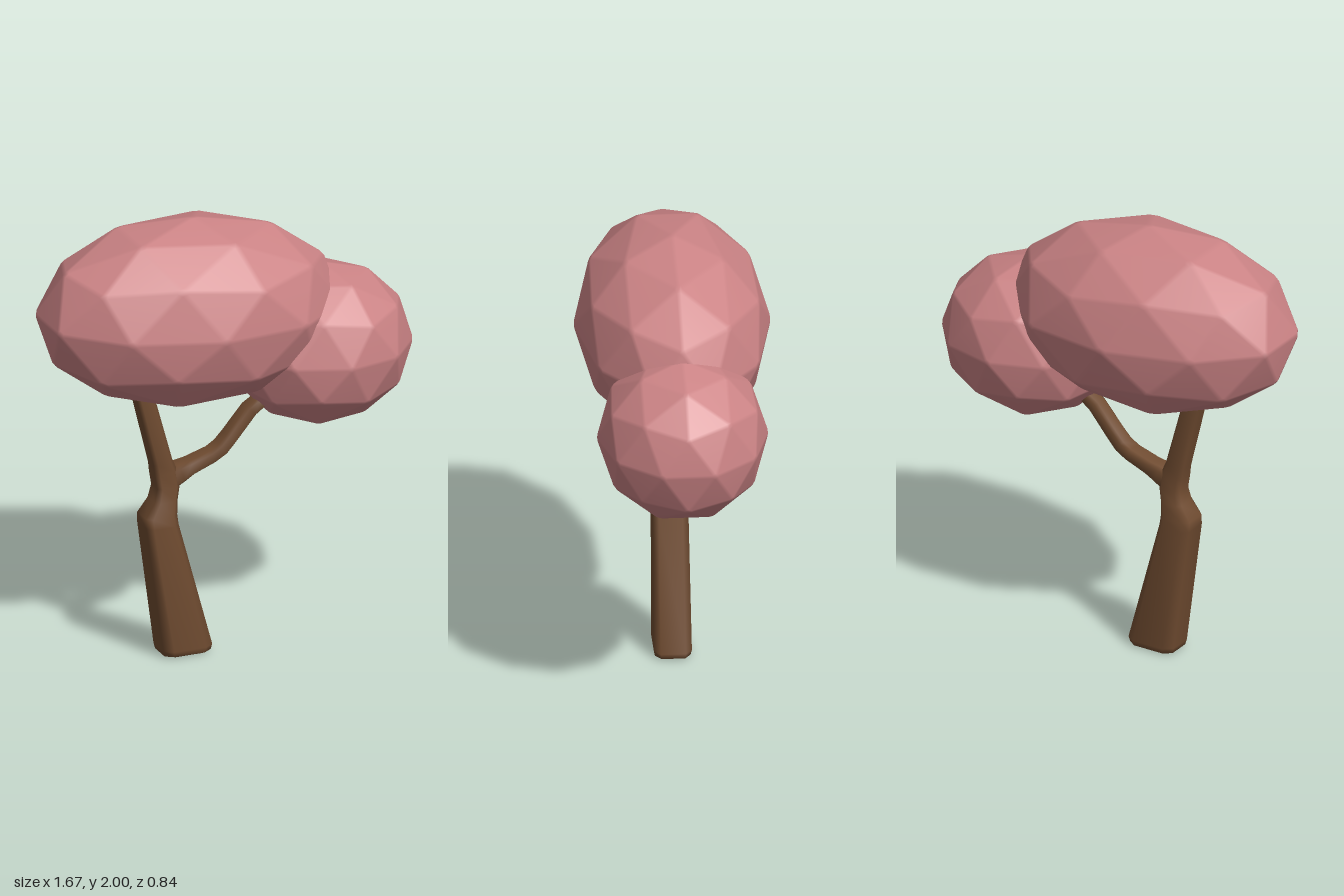
import * as THREE from 'three';
import { mergeVertices } from 'three/addons/utils/BufferGeometryUtils.js';
import { ConvexGeometry } from 'three/addons/geometries/ConvexGeometry.js';

const bark = new THREE.MeshStandardMaterial({ color: 0x6f4b30 });
const leaf = new THREE.MeshStandardMaterial({ color: 0xcb8385 });

// Shares vertices so that the narrow bevels blend softly between the flat faces
function soften(geo) {
  geo.deleteAttribute('normal');
  geo.deleteAttribute('uv');
  const merged = mergeVertices(geo, 1e-4);
  merged.computeVertexNormals();
  return merged;
}

// Faceted ball with bevelled edges: the hull of every face shrunk toward its centre
function facetedBall(inset) {
  const ico = new THREE.IcosahedronGeometry(1, 1);
  ico.rotateZ(-Math.atan(2 / (1 + Math.sqrt(5)))); // a corner points straight up
  const p = ico.attributes.position;
  const points = [];
  for (let f = 0; f < p.count; f += 3) {
    const tri = [0, 1, 2].map(k => new THREE.Vector3().fromBufferAttribute(p, f + k));
    const mid = tri[0].clone().add(tri[1]).add(tri[2]).divideScalar(3);
    tri.forEach(v => points.push(v.lerp(mid, inset)));
  }
  return new ConvexGeometry(points);
}

function crown(name, center, radii, tilt) {
  const geo = facetedBall(0.13);
  geo.scale(...radii);
  geo.rotateZ(THREE.MathUtils.degToRad(tilt));
  const mesh = new THREE.Mesh(soften(geo), leaf);
  mesh.name = name;
  mesh.position.set(...center);
  return mesh;
}

// Limb from chamfered square sections: [x, y, half width, half depth, lean in degrees]
function limb(name, sections) {
  const c = 0.66;
  const outline = [[1, -c], [1, c], [c, 1], [-c, 1], [-1, c], [-1, -c], [-c, -1], [c, -1]];
  const n = outline.length;
  const pos = [], idx = [];
  for (const [x, y, w, d, lean] of sections) {
    const a = THREE.MathUtils.degToRad(lean);
    for (const [u, v] of outline) pos.push(x + u * w * Math.cos(a), y - u * w * Math.sin(a), -v * d);
  }
  for (let i = 0; i < sections.length - 1; i++) {
    for (let j = 0; j < n; j++) {
      const a = i * n + j, b = i * n + (j + 1) % n;
      idx.push(a, b, a + n, b, b + n, a + n);
    }
  }
  const last = (sections.length - 1) * n;
  for (let j = 1; j < n - 1; j++) {
    idx.push(0, j + 1, j, last, last + j, last + j + 1);
  }
  const geo = new THREE.BufferGeometry();
  geo.setAttribute('position', new THREE.Float32BufferAttribute(pos, 3));
  geo.setIndex(idx);
  geo.computeVertexNormals();
  const mesh = new THREE.Mesh(geo, bark);
  mesh.name = name;
  return mesh;
}

export function createModel() {
  const tree = new THREE.Group();
  tree.name = 'tree';

  // Leaning trunk that narrows at the fork and carries on as the upright stem
  tree.add(limb('trunk', [
    [-0.195, 0, 0.095, 0.066, 0],
    [-0.195, 0.006, 0.108, 0.077, 0],
    [-0.195, 0.03, 0.114, 0.082, 0],
    [-0.312, 0.61, 0.075, 0.078, 0],
    [-0.315, 0.655, 0.073, 0.072, 0],
    [-0.29, 0.72, 0.053, 0.061, 0],
    [-0.277, 0.78, 0.052, 0.051, 0],
    [-0.288, 0.85, 0.052, 0.05, -8],
    [-0.302, 0.9, 0.044, 0.049, -14],
    [-0.38, 1.2, 0.04, 0.047, -15],
    [-0.42, 1.36, 0.036, 0.042, -15],
  ]));

  // Side branch bending up into the smaller crown
  tree.add(limb('sideBranch', [
    [-0.29, 0.80, 0.05, 0.046, 60],
    [-0.215, 0.834, 0.043, 0.047, 68],
    [-0.165, 0.853, 0.033, 0.046, 70],
    [-0.065, 0.888, 0.03, 0.043, 68],
    [-0.02, 0.915, 0.031, 0.042, 55],
    [0.02, 0.958, 0.03, 0.041, 44],
    [0.115, 1.07, 0.03, 0.039, 43],
    [0.16, 1.1, 0.028, 0.038, 58],
    [0.3, 1.18, 0.025, 0.035, 60],
  ]));

  // Two overlapping crowns of foliage
  tree.add(crown('largeCrown', [-0.17, 1.58, 0], [0.7, 0.427, 0.427], -3));
  tree.add(crown('smallCrown', [0.44, 1.335, 0], [0.415, 0.365, 0.372], -2));
  return tree;
}
